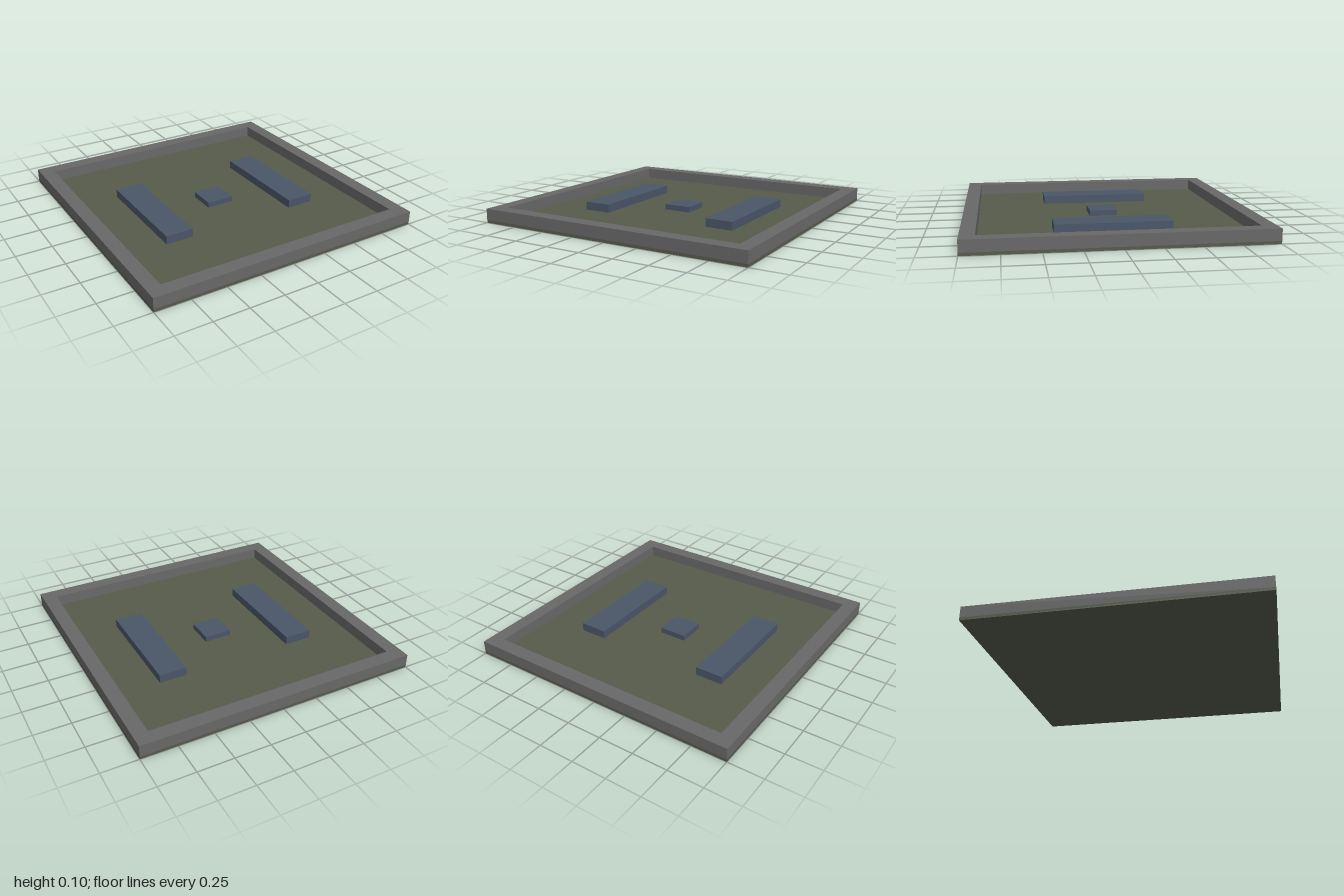
import * as THREE from 'three';

export function createModel() {
  const material = (name, color) => {
    const m = new THREE.MeshStandardMaterial({ color });
    m.name = name;
    return m;
  };
  const olive = material('olive floor', 0x555b4a);
  const grey = material('grey wall', 0x686868);
  const blue = material('slate blue block', 0x4a5568);

  const group = new THREE.Group();
  group.name = 'walledTray';
  const floorTop = 0.02;

  // Box standing with its underside at y
  const addBox = (name, mat, w, h, d, x, y, z) => {
    const mesh = new THREE.Mesh(new THREE.BoxGeometry(w, h, d), mat);
    mesh.name = name;
    mesh.position.set(x, y + h / 2, z);
    group.add(mesh);
  };

  // Floor slab
  addBox('floor', olive, 2, floorTop, 2, 0, 0, 0);

  // Rim wall: square outline with a square opening
  const square = (r) => [[-r, -r], [r, -r], [r, r], [-r, r]].map(([x, y]) => new THREE.Vector2(x, y));
  const outline = new THREE.Shape(square(1));
  outline.holes.push(new THREE.Path(square(0.9)));
  const rimGeometry = new THREE.ExtrudeGeometry(outline, { depth: 0.08, bevelEnabled: false });
  rimGeometry.rotateX(-Math.PI / 2);
  const rim = new THREE.Mesh(rimGeometry, grey);
  rim.name = 'rimWall';
  rim.position.y = floorTop;
  group.add(rim);

  // Two long blocks and the small centre block
  for (const [name, side] of [['leftBlock', 1], ['rightBlock', -1]]) {
    addBox(name, blue, 0.2, 0.06, 0.8, side * 0.5, floorTop, 0);
  }
  addBox('centreBlock', blue, 0.2, 0.04, 0.2, 0, floorTop, 0);

  return group;
}
